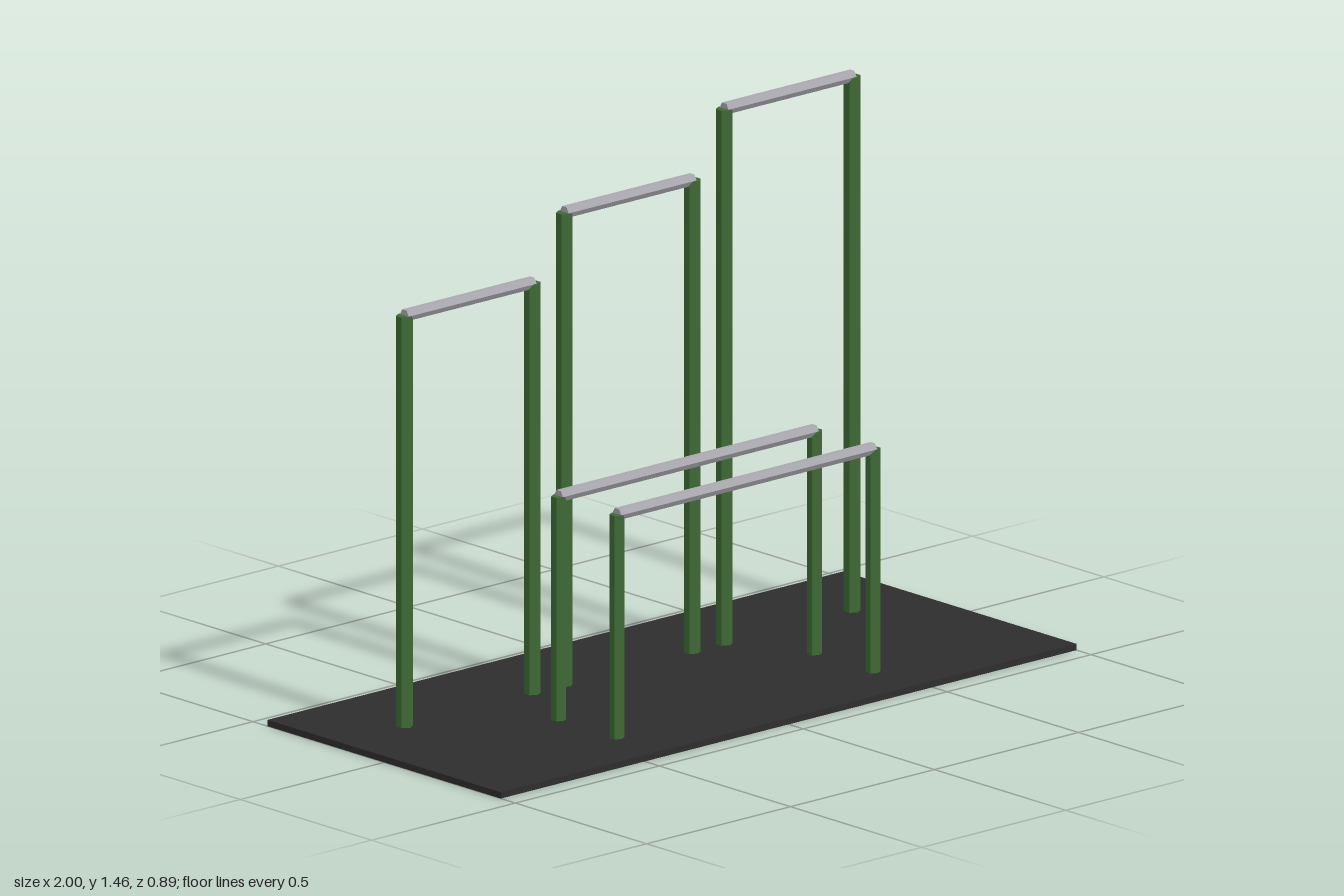
import * as THREE from 'three';

const material = (name, color) => {
  const m = new THREE.MeshStandardMaterial({ color, flatShading: true });
  m.name = name;
  return m;
};

export function createModel() {
  const green = material('green posts', 0x3f6b35);
  const steel = material('steel bars', 0xa8a8ae);
  const rubber = material('dark rubber', 0x2d2d2d);

  const model = new THREE.Group();
  model.name = 'pullUpAndParallelBars';

  // Ground mat
  const mat = new THREE.Mesh(new THREE.BoxGeometry(2, 0.017, 0.889), rubber);
  mat.name = 'groundMat';
  mat.position.y = 0.0085;
  model.add(mat);

  // Two hexagonal posts joined by a hexagonal bar lying across their tops
  function addFrame(name, x, z, height, span, postRadius) {
    const frame = new THREE.Group();
    frame.name = name;
    frame.position.set(x, 0, z);
    for (const side of [-1, 1]) {
      const bottom = 0.002;
      const post = new THREE.Mesh(
        new THREE.CylinderGeometry(postRadius, postRadius, height - bottom, 6), green);
      post.name = side > 0 ? 'leftPost' : 'rightPost';
      post.position.set(side * span / 2, (height + bottom) / 2, 0);
      frame.add(post);
    }
    const bar = new THREE.Mesh(new THREE.CylinderGeometry(0.0167, 0.0167, span, 6), steel);
    bar.name = 'bar';
    bar.rotation.z = Math.PI / 2;
    bar.position.y = height;
    frame.add(bar);
    model.add(frame);
  }

  // Three pull-up frames rising toward the left
  [1.116, 1.282, 1.449].forEach((height, i) =>
    addFrame(`pullUpFrame${i + 1}`, (i - 1) * 0.5556, -0.1667, height, 0.4444, 0.0222));

  // Pair of low parallel bars
  [0.0556, 0.2778].forEach((z, i) =>
    addFrame(`parallelBar${i + 1}`, 0, z, 0.615, 0.8889, 0.0198));

  return model;
}
